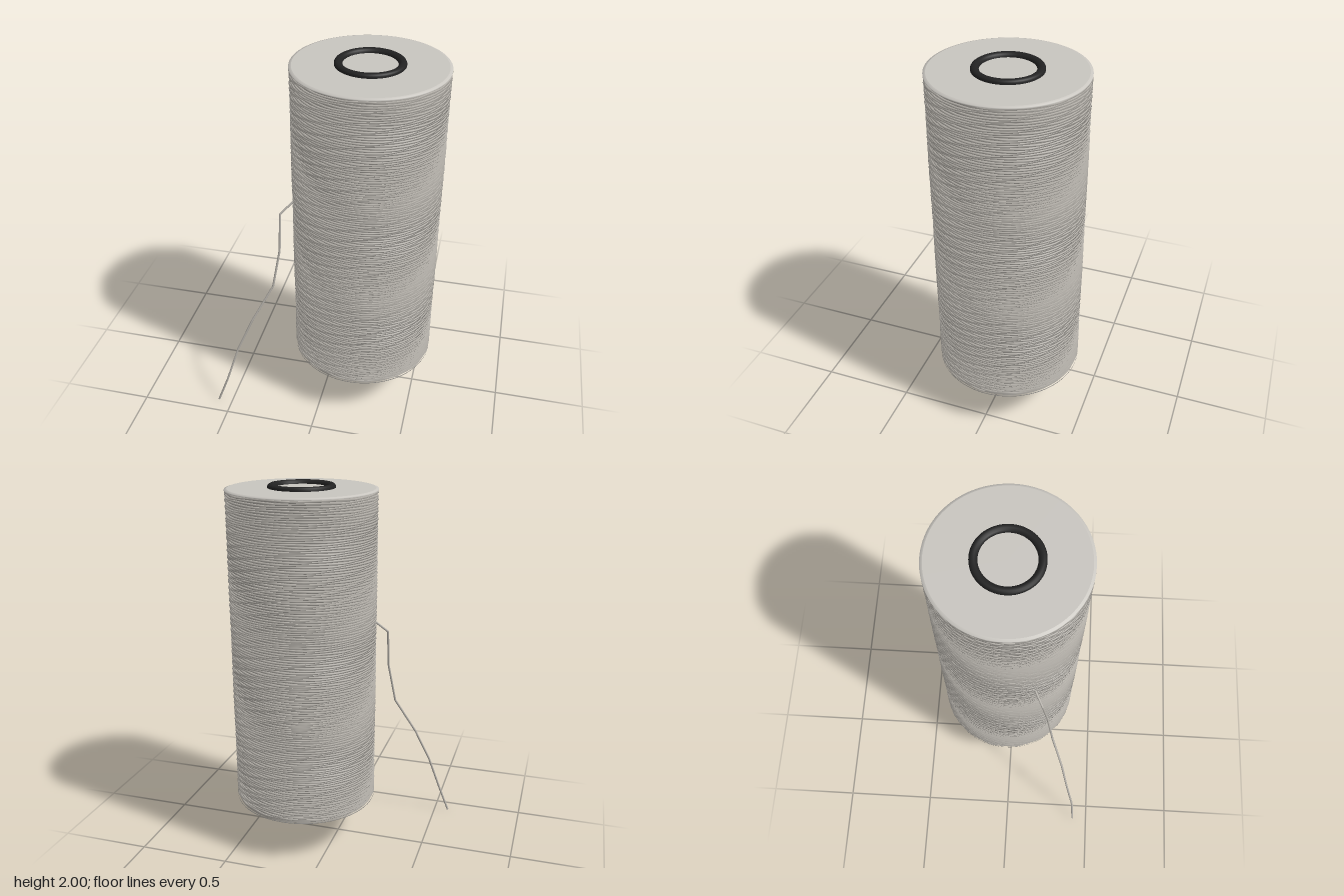
import * as THREE from 'three';

const X = 0.185, Z = -0.03, BOTTOM = 0.25, TOP = 1.98;

// Closely wound yarn: a helix with a small ripple that gives a woven grain
class WindingCurve extends THREE.Curve {
  constructor(turns, radius) {
    super();
    this.turns = turns;
    this.radius = radius;
  }
  getPoint(t, target = new THREE.Vector3()) {
    const a = t * this.turns * Math.PI * 2;
    const r = this.radius + 0.0025 * Math.sin(a * 15.37);
    const y = THREE.MathUtils.lerp(BOTTOM + 0.014, TOP - 0.014, t) + 0.002 * Math.sin(a * 7.21);
    return target.set(Math.cos(a) * r, y, Math.sin(a) * r);
  }
}

export function createModel() {
  const model = new THREE.Group();
  const yarn = new THREE.MeshStandardMaterial({ color: 0xb9b5ae });
  const card = new THREE.MeshStandardMaterial({ color: 0xc9c6c0 });
  const rubber = new THREE.MeshStandardMaterial({ color: 0x222222 });

  function add(name, geometry, material, parent = model) {
    const mesh = new THREE.Mesh(geometry, material);
    mesh.name = name;
    parent.add(mesh);
    return mesh;
  }

  const spool = new THREE.Group();
  spool.name = 'spool';
  spool.position.set(X, 0, Z);
  model.add(spool);

  // Solid body under the windings
  const body = new THREE.CylinderGeometry(0.383, 0.383, TOP - BOTTOM - 0.01, 72, 1, true);
  add('spoolBody', body, yarn, spool).position.y = (TOP + BOTTOM) / 2;

  // Wound yarn
  const turns = 142;
  const path = new WindingCurve(turns, 0.3855);
  path.arcLengthDivisions = turns * 72;
  add('woundYarn', new THREE.TubeGeometry(path, turns * 72, 0.0065, 4), yarn, spool);

  // End discs with a small bevel, and the core rims standing on them
  const discProfile = [[0.393, -0.01], [0.393, -0.004], [0.38, 0], [0, 0]];
  const rimProfile = [
    [0.175, -0.005], [0.175, 0.008], [0.171, 0.015], [0.163, 0.02],
    [0.15, 0.02], [0.141, 0.014], [0.135, 0.006], [0.135, -0.005],
  ];
  const lathe = (points, scale = 1) => new THREE.LatheGeometry(
    points.map(([r, y]) => new THREE.Vector2(r, y * scale)), 72);
  const discEdge = lathe(discProfile.slice(0, 3));
  const discFace = new THREE.CircleGeometry(0.38, 72).rotateX(-Math.PI / 2);
  for (const [side, y, turn, scale] of [['top', TOP, 0, 1], ['bottom', BOTTOM, Math.PI, 0.8]]) {
    const end = new THREE.Group();
    end.name = side + 'End';
    end.position.y = y;
    end.rotation.x = turn;
    spool.add(end);
    add(side + 'DiscEdge', discEdge, card, end);
    add(side + 'Disc', discFace, card, end);
    add(side + 'CoreRim', lathe(rimProfile, scale), rubber, end);
  }

  // Loose end of yarn hanging down beside the spool
  const points = [
    [-0.165, 1.26, 0.125], [-0.235, 1.19, 0.17], [-0.235, 0.98, 0.205], [-0.27, 0.76, 0.24],
    [-0.38, 0.55, 0.31], [-0.46, 0.36, 0.355], [-0.52, 0.16, 0.4], [-0.578, 0.002, 0.416],
  ].map((p) => new THREE.Vector3(...p));
  const tail = new THREE.Group();
  tail.name = 'looseYarn';
  model.add(tail);
  const up = new THREE.Vector3(0, 1, 0);
  for (let i = 1; i < points.length; i++) {
    const dir = points[i].clone().sub(points[i - 1]);
    const length = dir.length();
    const piece = add('looseYarnPiece', new THREE.CylinderGeometry(0.006, 0.006, length + 0.003, 8), yarn, tail);
    piece.position.addVectors(points[i], points[i - 1]).multiplyScalar(0.5);
    piece.quaternion.setFromUnitVectors(up, dir.normalize());
  }
  return model;
}
